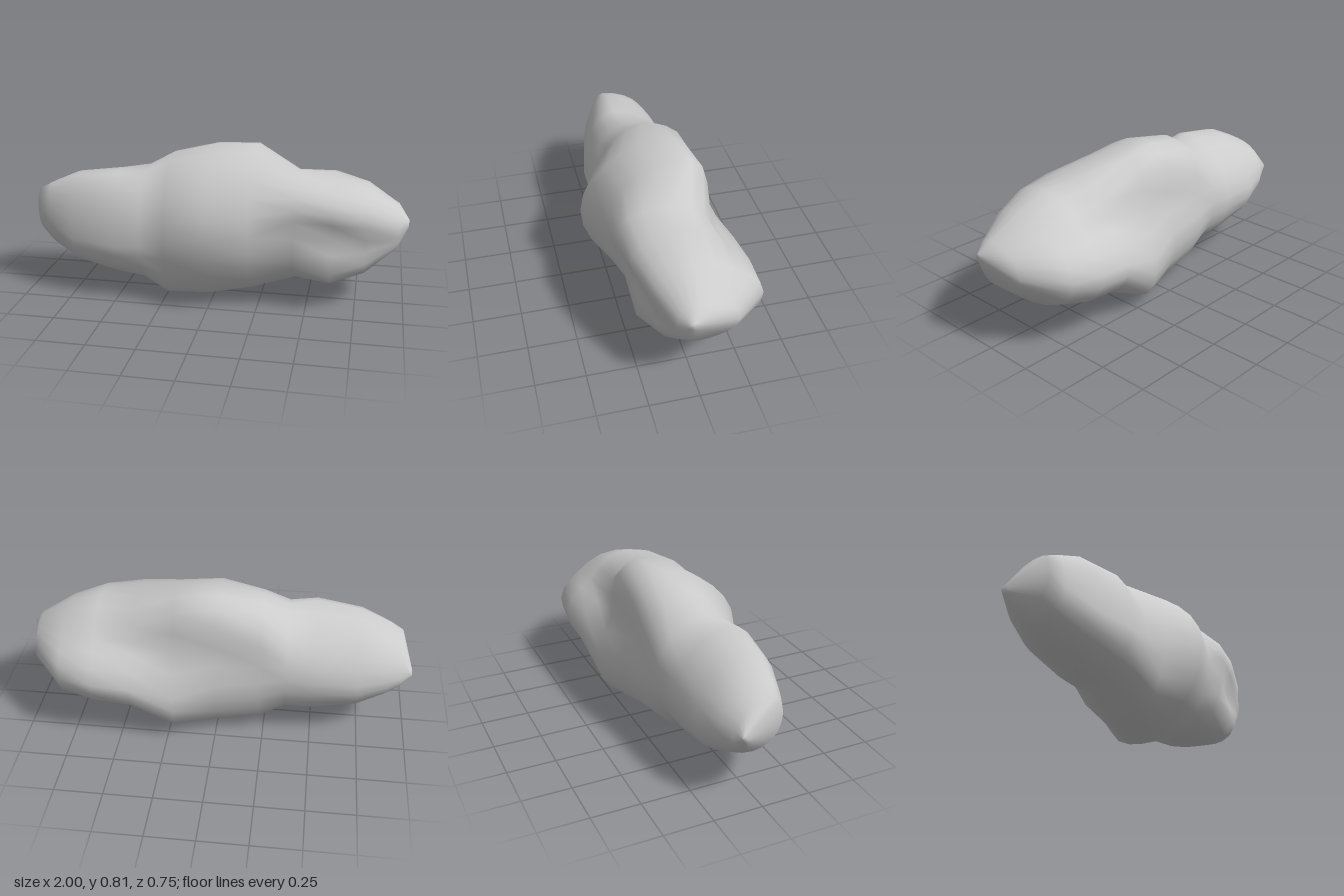
import * as THREE from 'three';

// Cross-sections along x: [x, topY, bottomY, frontZ, backZ, z of top, y of front, z of bottom, y of back]
const SECTIONS = [
  [-1.00, 0.42, 0.38, -0.08, -0.12, -0.10, 0.40, -0.10, 0.40],
  [-0.95, 0.55, 0.29, 0.11, -0.14, 0.06, 0.44, -0.03, 0.38],
  [-0.88, 0.59, 0.235, 0.15, -0.185, 0.07, 0.39, 0.00, 0.39],
  [-0.73, 0.66, 0.165, 0.22, -0.23, 0.07, 0.33, 0.03, 0.37],
  [-0.50, 0.69, 0.115, 0.265, -0.24, 0.08, 0.32, 0.04, 0.38],
  [-0.36, 0.70, 0.095, 0.265, -0.25, 0.02, 0.33, 0.03, 0.40],
  [-0.23, 0.77, 0.02, 0.28, -0.275, -0.01, 0.36, 0.01, 0.39],
  [0.00, 0.81, 0.005, 0.375, -0.295, -0.05, 0.43, -0.04, 0.36],
  [0.21, 0.80, 0.04, 0.30, -0.33, -0.09, 0.43, -0.06, 0.30],
  [0.43, 0.71, 0.125, 0.27, -0.38, -0.01, 0.52, -0.02, 0.36],
  [0.62, 0.705, 0.125, 0.275, -0.385, -0.01, 0.51, 0.03, 0.38],
  [0.79, 0.65, 0.19, 0.21, -0.365, -0.01, 0.48, 0.02, 0.40],
  [0.95, 0.55, 0.33, 0.11, -0.19, 0.01, 0.44, 0.00, 0.42],
  [1.00, 0.49, 0.45, 0.06, 0.02, 0.04, 0.47, 0.04, 0.47],
];

// Local dents (negative) and swellings (positive): [x, y, z, radius, amount]
const FEATURES = [
  // Front hollow of the right-hand lobe and the folds around it
  [0.66, 0.40, 0.27, 0.14, -0.10],
  [0.43, 0.64, 0.22, 0.13, 0.03],
  [0.58, 0.25, 0.21, 0.12, 0.045],
  [0.86, 0.28, 0.11, 0.11, 0.02],
  // Back valley and the crest beside it
  [0.46, 0.57, -0.28, 0.16, -0.09],
  [0.70, 0.56, -0.28, 0.14, -0.045],
  [0.20, 0.55, -0.30, 0.13, -0.04],
  [0.11, 0.76, -0.21, 0.13, 0.045],
  [0.22, 0.13, -0.28, 0.14, 0.045],
  // Knob and hollow at the back of the middle
  [-0.18, 0.66, -0.22, 0.10, 0.04],
  [-0.08, 0.52, -0.28, 0.13, -0.055],
  // Flattened brow above the front of the middle
  [-0.12, 0.67, 0.22, 0.20, -0.035],
  // Keel and left-hand lobe
  [-0.23, 0.10, 0.20, 0.11, 0.035],
  [-0.63, 0.56, -0.17, 0.18, -0.035],
  [-0.60, 0.15, -0.10, 0.15, 0.03],
];

// Lumpy surface lofted through the sections
function rockGeometry(around = 24) {
  const positions = [], indices = [];
  for (const [x, top, bottom, front, back, zTop, yFront, zBottom, yBack] of SECTIONS) {
    const cy = (top + bottom) / 2, cz = (front + back) / 2;
    for (let j = 0; j < around; j++) {
      const a = (j / around) * Math.PI * 2;
      const c = Math.cos(a), s = Math.sin(a);
      // Each quarter is an elliptical arc between two extreme points
      const zMid = s >= 0 ? zTop : zBottom, yMid = c >= 0 ? yFront : yBack;
      let z = zMid + Math.abs(c) * ((c >= 0 ? front : back) - zMid);
      let y = yMid + Math.abs(s) * ((s >= 0 ? top : bottom) - yMid);
      let push = 0;
      for (const [fx, fy, fz, r, amount] of FEATURES) {
        const d2 = (x - fx) ** 2 + (y - fy) ** 2 + (z - fz) ** 2;
        push += amount * Math.exp(-d2 / (r * r));
      }
      const len = Math.hypot(y - cy, z - cz) || 1;
      y += (push * (y - cy)) / len;
      z += (push * (z - cz)) / len;
      positions.push(x, y, z);
    }
  }
  for (let i = 0; i < SECTIONS.length - 1; i++) {
    for (let j = 0; j < around; j++) {
      const k = (j + 1) % around;
      const a = i * around + j, b = i * around + k;
      indices.push(a, a + around, b, b, a + around, b + around);
    }
  }
  // Close both tips
  [0, SECTIONS.length - 1].forEach((i) => {
    const [x, top, bottom, front, back] = SECTIONS[i];
    const tip = positions.length / 3;
    positions.push(x, (top + bottom) / 2, (front + back) / 2);
    for (let j = 0; j < around; j++) {
      const a = i * around + j, b = i * around + ((j + 1) % around);
      if (i === 0) indices.push(tip, a, b);
      else indices.push(tip, b, a);
    }
  });
  const geometry = new THREE.BufferGeometry();
  geometry.setAttribute('position', new THREE.Float32BufferAttribute(positions, 3));
  geometry.setIndex(indices);
  geometry.computeVertexNormals();
  return geometry;
}

export function createModel() {
  const group = new THREE.Group();
  group.name = 'asteroid';
  const rock = new THREE.Mesh(rockGeometry(), new THREE.MeshStandardMaterial({ color: 0xcccccc }));
  rock.name = 'rock';
  group.add(rock);
  return group;
}
